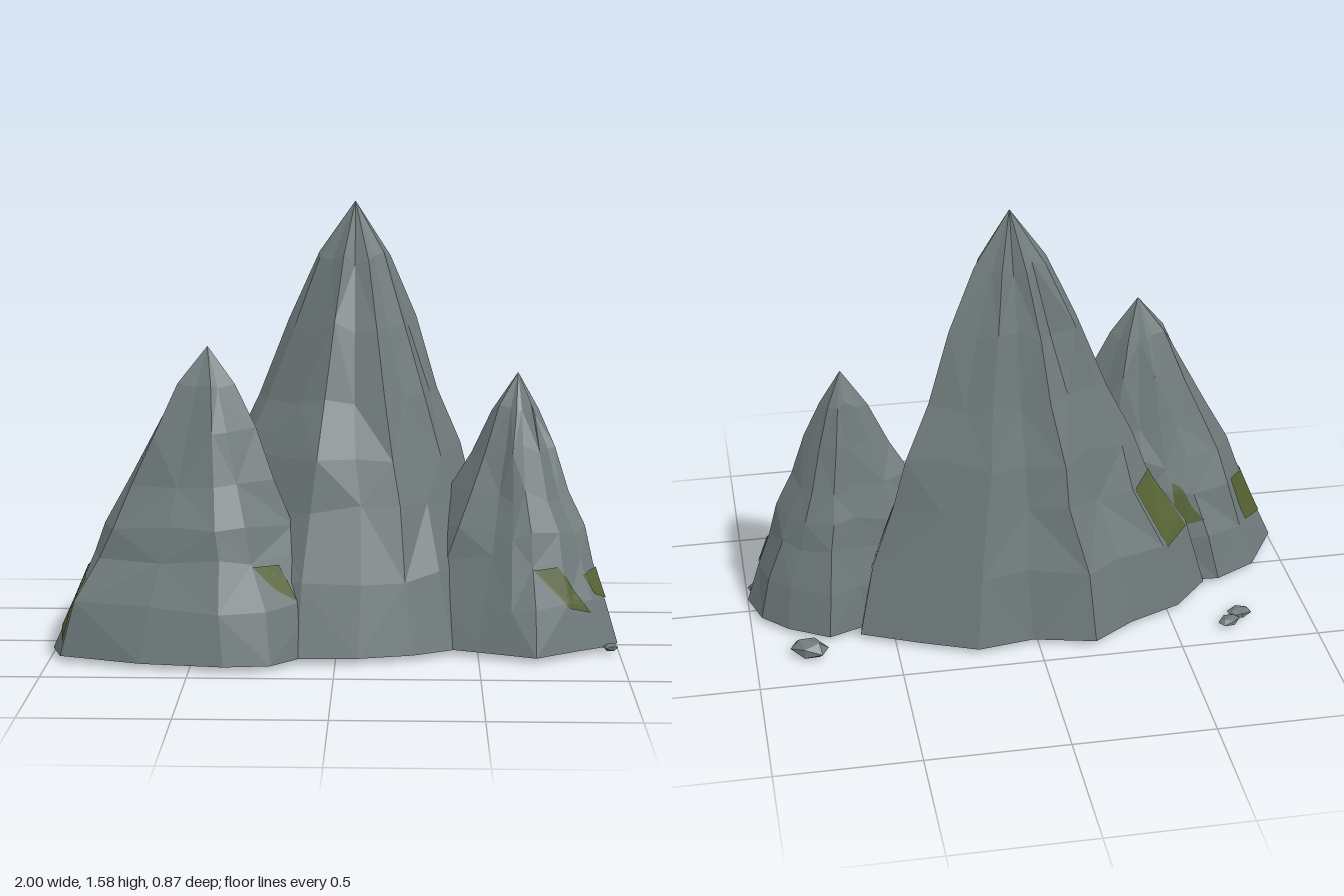
import * as THREE from 'three';

const BASE_Y = 0.02;
// height fraction, width fraction
const PROFILE = [[0, 1], [0.17, 0.89], [0.32, 0.73], [0.43, 0.65], [0.56, 0.5], [0.72, 0.36], [0.87, 0.2], [1, 0]];

function seeded(seed) {
  let s = seed;
  return () => {
    s = (s * 16807) % 2147483647;
    return s / 2147483647 - 0.5;
  };
}

function meshFrom(points, material, name) {
  const geo = new THREE.BufferGeometry();
  geo.setAttribute('position', new THREE.Float32BufferAttribute(points, 3));
  geo.computeVertexNormals();
  const mesh = new THREE.Mesh(geo, material);
  mesh.name = name;
  return mesh;
}

// Rings of points shrinking from the outline to the apex.
// Each outline point is [x, z, bulge]; bulge pushes that side out at mid height.
function peakRings([ax, ay, az], outline, seed) {
  const rand = seeded(seed);
  const folds = outline.map((_, i) => (i % 2 ? -0.06 : 0.04) + rand() * 0.08);
  return PROFILE.map(([t, f]) => outline.map(([x, z, bulge = 0], i) => {
    const inside = t > 0 && t < 1;
    const fold = inside ? 1 + folds[i] * 1.8 * t + rand() * 0.05 : 1;
    const w = (f + bulge * Math.sin(Math.PI * t)) * fold;
    const y = BASE_Y + (ay - BASE_Y) * t + (inside ? rand() * 0.045 : 0);
    const turn = inside ? rand() * 0.09 : 0;
    const dx = (x - ax) * w, dz = (z - az) * w;
    return [ax + dx - dz * turn, y, az + dz + dx * turn];
  }));
}

const flipped = (i, r) => (i + r) % 2 === 1;

function rockFaces(rings) {
  const out = [], n = rings[0].length;
  for (let r = 0; r < rings.length - 1; r++) {
    for (let i = 0; i < n; i++) {
      const j = (i + 1) % n;
      const a = rings[r][i], b = rings[r][j], c = rings[r + 1][j], d = rings[r + 1][i];
      if (r === rings.length - 2) out.push(...a, ...b, ...c);
      else if (flipped(i, r)) out.push(...a, ...b, ...c, ...a, ...c, ...d);
      else out.push(...a, ...b, ...d, ...b, ...c, ...d);
    }
  }
  return out;
}

// Point on the faceted surface at column u and ring v, moved outwards by lift
function surfacePoint(rings, [ax, , az], u, v, lift) {
  const n = rings[0].length, col = Math.floor(u), r = Math.floor(v);
  const i = col % n, j = (i + 1) % n, s = u - col, t = v - r;
  const a = rings[r][i], b = rings[r][j], c = rings[r + 1][j], d = rings[r + 1][i];
  let weights;
  if (flipped(i, r)) weights = s > t ? [1 - s, s - t, t, 0] : [1 - t, 0, s, t - s];
  else weights = s + t < 1 ? [1 - s - t, s, 0, t] : [0, 1 - t, s + t - 1, 1 - s];
  const [x, y, z] = [0, 1, 2].map(k => a[k] * weights[0] + b[k] * weights[1] + c[k] * weights[2] + d[k] * weights[3]);
  const len = Math.hypot(x - ax, z - az);
  return [x + (x - ax) / len * lift, y, z + (z - az) / len * lift];
}

// Thin moss patch hugging both sides of the rock; corners are [column, ring]
function mossFaces(rings, apex, corners) {
  const out = [], steps = 8, mix = THREE.MathUtils.lerp;
  const [p, q, m, k] = corners;
  for (const lift of [0.005, -0.004]) {
    const at = (i, j) => {
      const s = i / steps, t = j / steps;
      const [u, v] = [0, 1].map(e => mix(mix(p[e], q[e], s), mix(k[e], m[e], s), t));
      return surfacePoint(rings, apex, u, v, lift);
    };
    for (let i = 0; i < steps; i++) {
      for (let j = 0; j < steps; j++) {
        const a = at(i, j), b = at(i + 1, j), c = at(i + 1, j + 1), d = at(i, j + 1);
        out.push(...a, ...b, ...c, ...a, ...c, ...d);
      }
    }
  }
  return out;
}

export function createModel() {
  const group = new THREE.Group();
  group.name = 'rockyPeaks';
  const stone = new THREE.MeshStandardMaterial({ color: 0x707b7c, flatShading: true, side: THREE.DoubleSide });
  stone.name = 'greyStone';
  const moss = new THREE.MeshStandardMaterial({ color: 0x566234, flatShading: true, side: THREE.DoubleSide });
  moss.name = 'mossGreen';

  const addPeak = (name, apex, outline, patches, seed) => {
    const rings = peakRings(apex, outline, seed);
    group.add(meshFrom(rockFaces(rings), stone, name));
    patches.forEach((corners, i) => {
      group.add(meshFrom(mossFaces(rings, apex, corners), moss, name + 'Moss' + (i + 1)));
    });
  };

  // Tall middle peak
  addPeak('middlePeak', [0.06, 1.58, -0.14], [
    [-0.13, 0.31], [0.08, 0.3], [0.27, 0.25], [0.41, 0.17], [0.52, 0], [0.6, -0.14],
    [0.62, -0.25], [0.42, -0.34], [0.22, -0.42, -0.06], [0.02, -0.39], [-0.2, -0.44, -0.06],
    [-0.35, -0.34], [-0.54, -0.26], [-0.67, -0.12], [-0.55, 0.03], [-0.35, 0.2],
  ], [
    [[5.5, 1.05], [6, 0.8], [6, 1.95], [5.3, 1.95]],
    [[12.1, 0.95], [12.9, 0.95], [13, 2.1], [12.05, 2]],
  ], 41);

  // Peak on the -x side, running in under the middle peak
  addPeak('rightPeak', [-0.45, 1.09, 0.12], [
    [-0.96, 0.29], [-0.67, 0.39, -0.03], [-0.38, 0.43, -0.03], [-0.22, 0.41], [-0.01, 0.18],
    [-0.1, 0.03], [-0.28, -0.08], [-0.44, -0.12], [-0.58, -0.1],
    [-0.73, -0.11], [-0.88, -0.03], [-1, 0.17, 0.03],
  ], [
    [[3.25, 1.4], [3.55, 1.05], [3.45, 1.85], [3, 1.95]],
    [[8.1, 1.3], [9, 1.4], [8.4, 2.3], [8.1, 2.4]],
    [[10.3, 0.95], [11.99, 0.25], [11.99, 1.5], [10.2, 2]],
  ], 977);

  // Peak on the +x side, running in under the middle peak
  addPeak('leftPeak', [0.64, 0.98, -0.05], [
    [0.31, 0.13], [0.5, 0.2], [0.6, 0.24], [0.7, 0.28], [0.84, 0.18], [0.95, 0.11],
    [1, 0.05], [0.96, -0.08], [0.87, -0.17], [0.73, -0.25], [0.6, -0.2],
    [0.36, -0.19], [0.18, -0.09],
  ], [
    [[4, 0.9], [4.75, 0.75], [3.8, 1.9], [3, 1.95]],
    [[5.2, 1.15], [6, 1.05], [6, 1.9], [4.85, 1.6]],
    [[12.45, 0.2], [12.99, 0.2], [12.6, 0.8], [12.05, 0.8]],
  ], 3301);

  // Loose pebbles: x, y, z, half sizes, turn
  const pebbles = [
    [0.81, 0.03, -0.32, 0.065, 0.03, 0.045, -0.5],
    [0.97, 0.022, 0.12, 0.024, 0.014, 0.024, 0.3],
    [-0.92, 0.018, 0.22, 0.024, 0.014, 0.024, 0.8],
    [-0.75, 0.015, -0.335, 0.042, 0.015, 0.032, 0.2],
    [-0.7, 0.016, -0.385, 0.042, 0.014, 0.028, 0.6],
  ];
  pebbles.forEach(([x, y, z, sx, sy, sz, turn], i) => {
    const pebble = new THREE.Mesh(new THREE.IcosahedronGeometry(1.12, 0), stone);
    pebble.position.set(x, y, z);
    pebble.scale.set(sx, sy, sz);
    pebble.rotation.y = turn;
    pebble.name = 'pebble' + (i + 1);
    group.add(pebble);
  });
  return group;
}
